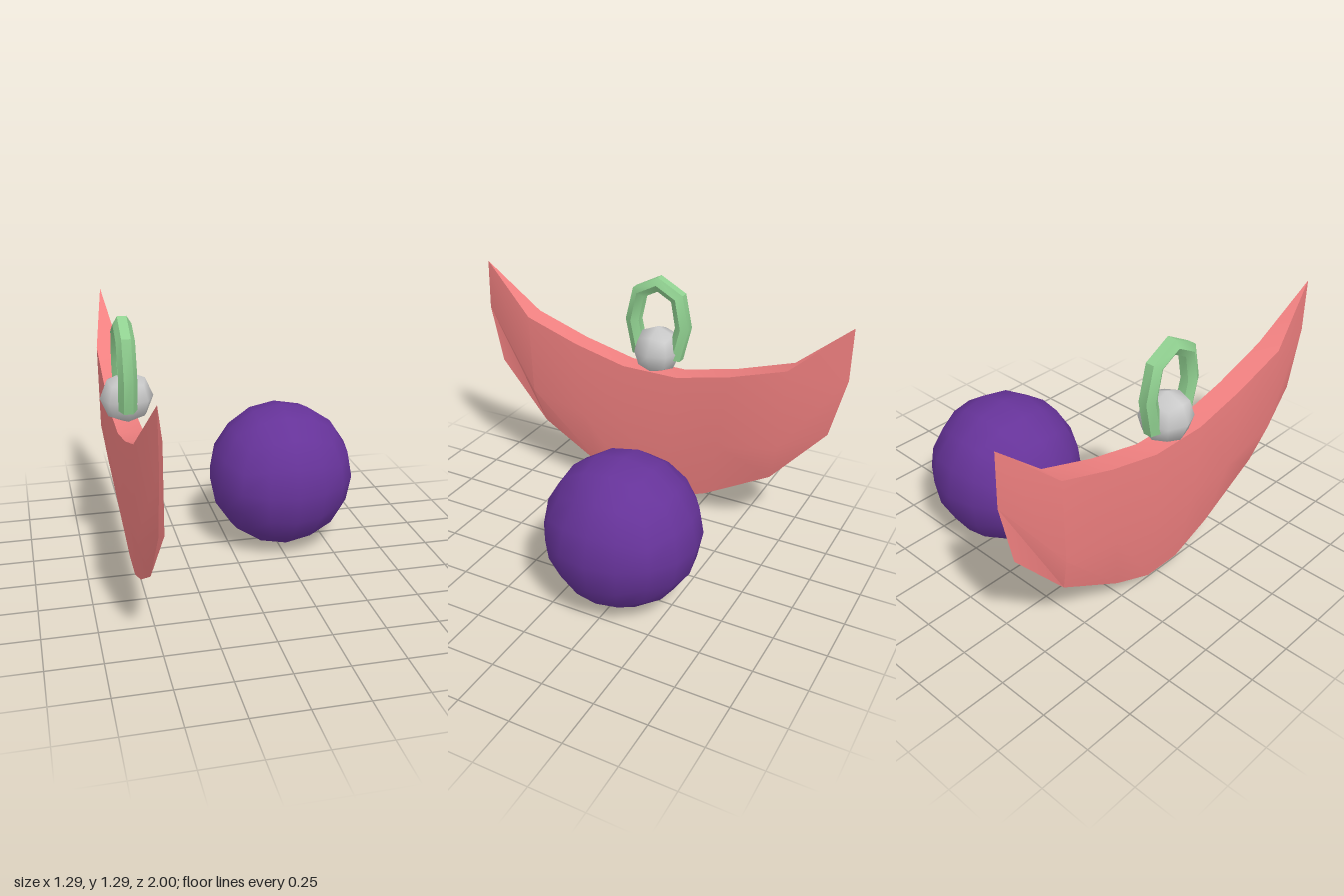
import * as THREE from 'three';
import { mergeVertices, toCreasedNormals } from 'three/addons/utils/BufferGeometryUtils.js';

const V = (x, y, z) => new THREE.Vector3(x, y, z);

function mesh(name, geometry, color) {
  const m = new THREE.Mesh(geometry, new THREE.MeshStandardMaterial({ color }));
  m.name = name;
  return m;
}

// Skins closed cross-sections, each running counter-clockwise about the direction of travel
function loft(sections, capped, crease) {
  const p = [];
  const tri = (...pts) => pts.forEach((v) => p.push(v.x, v.y, v.z));
  const n = sections[0].length;
  for (let s = 0; s < sections.length - 1; s++) {
    const a = sections[s], b = sections[s + 1];
    for (let i = 0; i < n; i++) {
      const j = (i + 1) % n;
      tri(a[i], a[j], b[j]);
      tri(a[i], b[j], b[i]);
    }
  }
  if (capped) {
    const first = sections[0], last = sections[sections.length - 1];
    for (let i = 1; i < n - 1; i++) {
      tri(first[0], first[i + 1], first[i]);
      tri(last[0], last[i], last[i + 1]);
    }
  }
  const g = new THREE.BufferGeometry();
  g.setAttribute('position', new THREE.Float32BufferAttribute(p, 3));
  return toCreasedNormals(g, crease);
}

// Ball made from an evenly spread, inflated cube
function cubeBall(radius, segments) {
  let g = new THREE.BoxGeometry(2, 2, 2, segments, segments, segments);
  g.deleteAttribute('uv');
  g.deleteAttribute('normal');
  g = mergeVertices(g);
  const pos = g.attributes.position;
  const spread = (t) => Math.tan((t * Math.PI) / 4);
  for (let i = 0; i < pos.count; i++) {
    const v = V(spread(pos.getX(i)), spread(pos.getY(i)), spread(pos.getZ(i))).setLength(radius);
    pos.setXYZ(i, v.x, v.y, v.z);
  }
  g.computeVertexNormals();
  return g;
}

// Crescent: flat top, upright flanks, keel-like lower edge and knife-edge tips
function crescent() {
  // half width, then [z, y] of top edge, flank and keel
  const half = [
    [0.0575, [0.15, 0.8], [0.13, 0.44], [0.1, 0.055]],
    [0.0575, [0.43, 0.865], [0.39, 0.47], [0.32, 0.145]],
    [0.0575, [0.72, 0.96], [0.7, 0.54], [0.66, 0.34]],
    [0, [1, 1.21], [1, 0.95], [0.93, 0.65]],
  ];
  const section = ([w, t, m, k], side) => [
    V(w, t[1], side * t[0]), V(-w, t[1], side * t[0]),
    V(-w, m[1], side * m[0]), V(0, k[1], side * k[0]), V(w, m[1], side * m[0]),
  ];
  const sections = [
    ...[...half].reverse().map((h) => section(h, -1)),
    ...half.map((h) => section(h, 1)),
  ];
  return loft(sections, false, 0.6);
}

// Hanging loop: a six-sided bar swept along an arch
function loop() {
  const path = [
    [0.08, 0.88], [0.12, 1.05], [0.088, 1.2], [-0.017, 1.256],
    [-0.122, 1.2], [-0.154, 1.05], [-0.114, 0.88],
  ].map(([z, y]) => V(0, y, z));
  const sections = path.map((c, i) => {
    const t = path[Math.min(i + 1, path.length - 1)].clone()
      .sub(path[Math.max(i - 1, 0)]).normalize();
    const out = V(0, t.z, -t.y);
    return Array.from({ length: 6 }, (_, k) => {
      const a = (k * Math.PI) / 3;
      return c.clone().add(V(0.043 * Math.cos(a), 0, 0)).addScaledVector(out, 0.042 * Math.sin(a));
    });
  });
  return loft(sections, true, 0.7);
}

export function createModel() {
  const model = new THREE.Group();
  model.name = 'crescentPendantAndBall';

  const pendant = new THREE.Group();
  pendant.name = 'pendant';
  pendant.position.x = -0.532;
  pendant.add(mesh('crescent', crescent(), 0xf08080));
  pendant.add(mesh('hangingLoop', loop(), 0x90d090));

  // Bead joining the loop to the crescent
  const bead = mesh('bead', cubeBall(0.124, 2), 0xcccccc);
  bead.position.set(0.008, 0.912, -0.02);
  pendant.add(bead);
  model.add(pendant);

  // Separate large ball
  const ball = mesh('ball', cubeBall(0.368, 4), 0x663399);
  ball.position.set(0.277, 0.372, -0.252);
  model.add(ball);

  return model;
}
